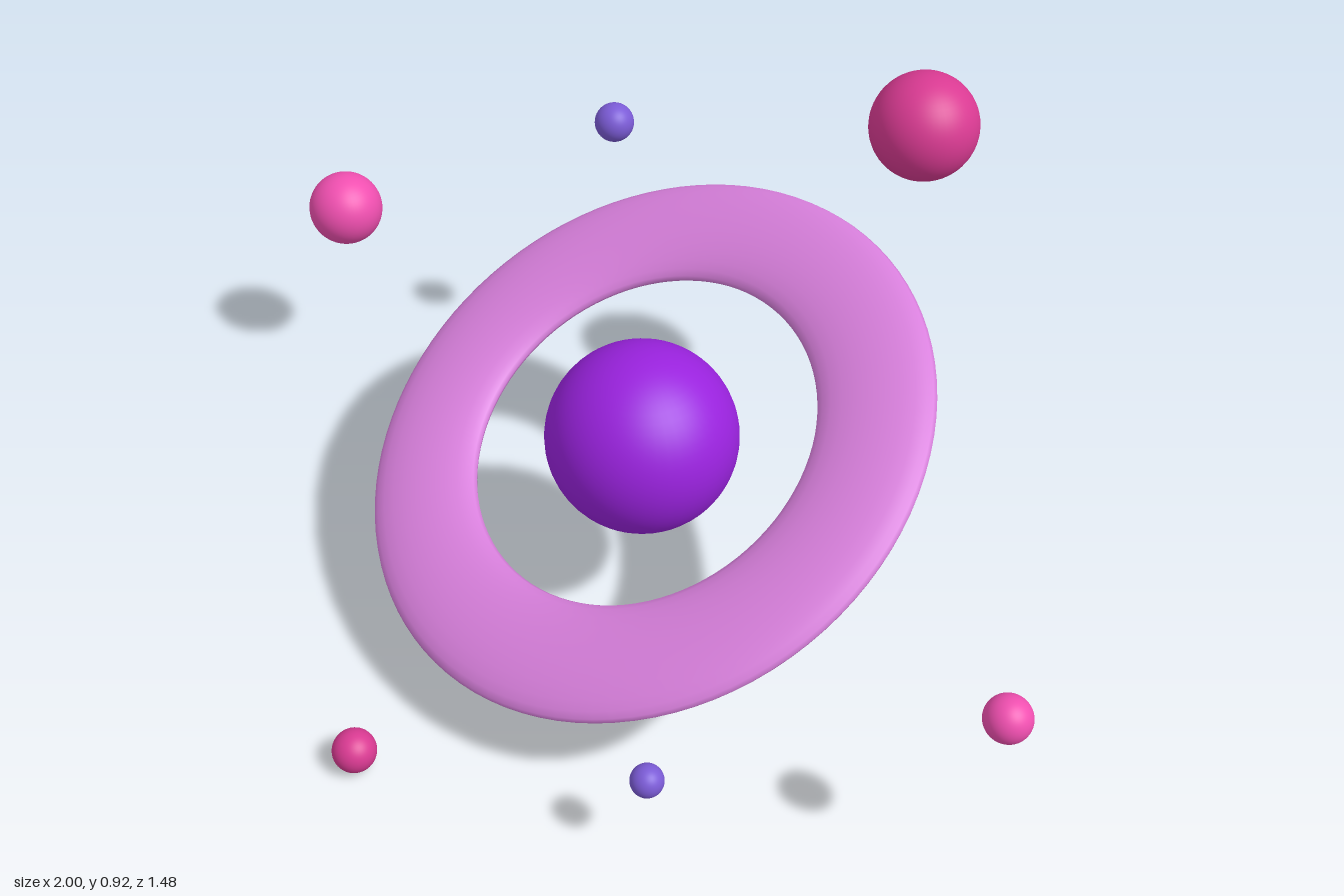
import * as THREE from 'three';

function ball(name, color, radius, x, y, z) {
  const mesh = new THREE.Mesh(
    new THREE.SphereGeometry(radius, 48, 32),
    new THREE.MeshStandardMaterial({ color })
  );
  mesh.name = name;
  mesh.position.set(x, y, z);
  return mesh;
}

export function createModel() {
  const model = new THREE.Group();
  model.name = 'ringedPlanet';

  // Planet with a flattened ring tilted down towards the front
  const centre = [0.07, 0.42, 0.042];
  model.add(ball('planet', 0x9922dd, 0.178, ...centre));

  const ringGeometry = new THREE.TorusGeometry(0.443, 0.108, 24, 96);
  ringGeometry.scale(1, 1, 0.3);
  const ring = new THREE.Mesh(ringGeometry, new THREE.MeshStandardMaterial({ color: 0xd980dd }));
  ring.name = 'ring';
  ring.position.set(...centre);
  ring.rotation.x = Math.PI / 2 + Math.PI / 6;
  model.add(ring);

  // Moons around the ring plane: name, color, radius, position
  const moons = [
    ['backMoon', 0xd93a92, 0.104, 0.07, 0.816, -0.64],
    ['rightMoon', 0xf04fb0, 0.077, -0.923, 0.42, 0.042],
    ['leftMoon', 0xf04fb0, 0.04, 0.96, 0.42, 0.042],
    ['frontMoon', 0xd93a92, 0.04, 0.07, 0.042, 0.7],
    ['backRightMoon', 0x7b5bd6, 0.04, -0.518, 0.66, -0.368],
    ['frontLeftMoon', 0x7b5bd6, 0.029, 0.556, 0.199, 0.43],
  ];
  for (const moon of moons) model.add(ball(...moon));

  return model;
}
